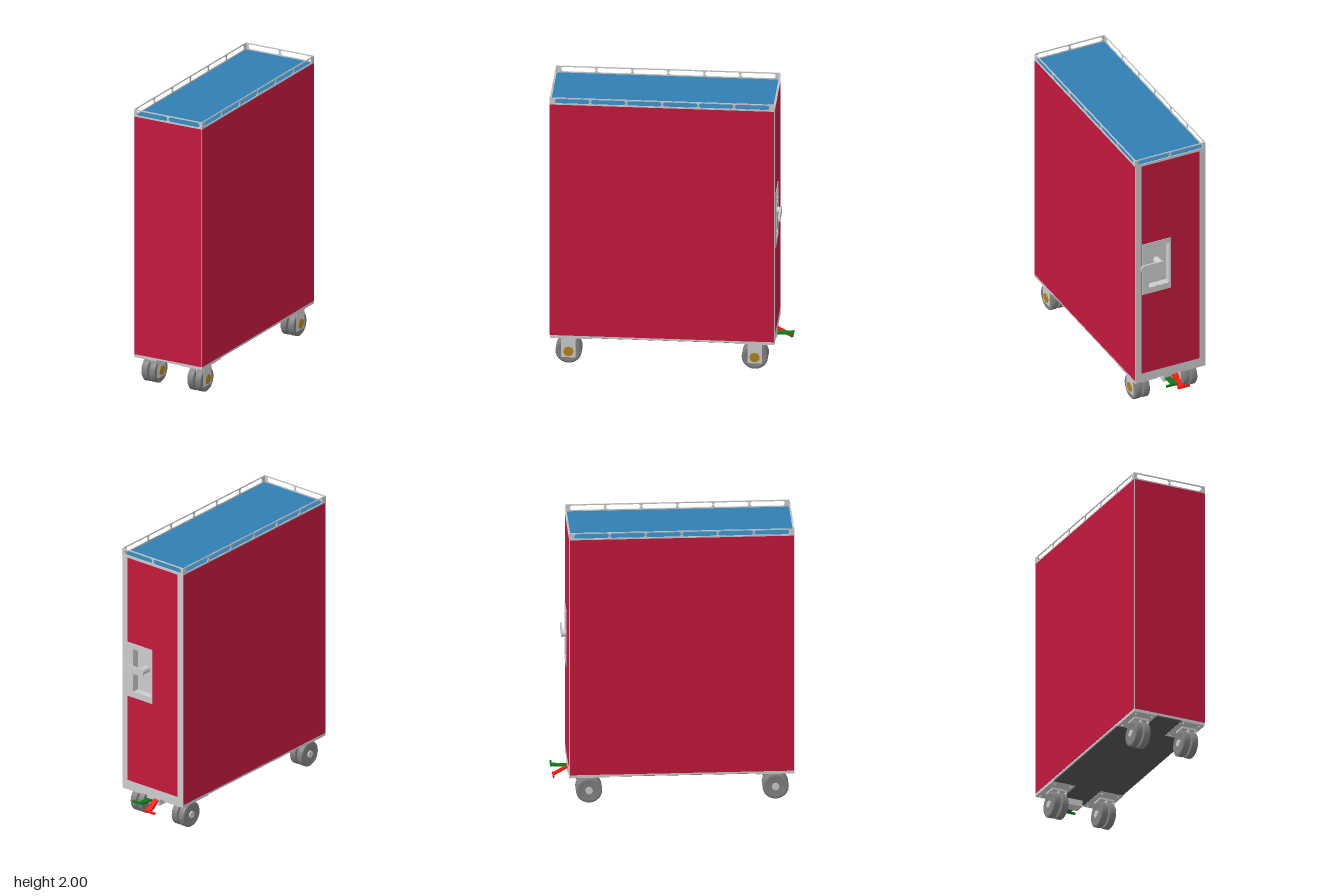
import * as THREE from 'three';

const material = (color) => new THREE.MeshStandardMaterial({ color });
const GREY = material(0xcccccc), RED = material(0xc4183c), BLUE = material(0x2f7fb2);
const DARK = material(0x555555), TYRE = material(0x808080), GOLD = material(0xb08418);
const PEDAL_RED = material(0xff1414), PEDAL_GREEN = material(0x0c7a18);

function add(parent, name, geometry, mat) {
  const mesh = new THREE.Mesh(geometry, mat);
  mesh.name = name;
  parent.add(mesh);
  return mesh;
}

// Box given by its minimum and maximum corners
function box(parent, name, mat, [x0, y0, z0], [x1, y1, z1]) {
  const mesh = add(parent, name, new THREE.BoxGeometry(x1 - x0, y1 - y0, z1 - z0), mat);
  mesh.position.set((x0 + x1) / 2, (y0 + y1) / 2, (z0 + z1) / 2);
  return mesh;
}

// Cylinder lying along the x axis
function axle(parent, name, mat, r, x0, x1) {
  const mesh = add(parent, name, new THREE.CylinderGeometry(r, r, x1 - x0, 32), mat);
  mesh.rotation.z = Math.PI / 2;
  mesh.position.x = (x0 + x1) / 2;
  return mesh;
}

function rect(Type, x0, y0, x1, y1) {
  return new Type([[x0, y0], [x1, y0], [x1, y1], [x0, y1]].map(([x, y]) => new THREE.Vector2(x, y)));
}

// Horizontal outline with round ends
function stadium(Type, x0, y0, x1, y1) {
  const r = (y1 - y0) / 2, cy = (y0 + y1) / 2;
  const s = new Type();
  s.absarc(x1 - r, cy, r, -Math.PI / 2, Math.PI / 2);
  s.absarc(x0 + r, cy, r, Math.PI / 2, Math.PI * 1.5);
  s.closePath();
  return s;
}

function extrude(shape, depth, holes = []) {
  shape.holes.push(...holes);
  return new THREE.ExtrudeGeometry(shape, { depth, bevelEnabled: false, curveSegments: 10 });
}

// Gallery rail strip with a row of round-ended slots
function rail(length, count, margin) {
  const pitch = (length - 2 * margin) / count;
  const holes = [];
  for (let i = 0; i < count; i++) {
    const x = -length / 2 + margin + i * pitch;
    holes.push(stadium(THREE.Path, x + 0.005, 1.958, x + pitch - 0.005, 1.992));
  }
  return extrude(rect(THREE.Shape, -length / 2, 1.945, length / 2, 2), 0.006, holes);
}

function makeCaster() {
  const caster = new THREE.Group();
  caster.name = 'caster';
  // Twin wheels with rounded shoulders and a dished face
  const profile = [[0.02, -0.02], [0.06, -0.02], [0.065, -0.025], [0.083, -0.025], [0.09, -0.018],
    [0.09, 0.018], [0.083, 0.025], [0.065, 0.025], [0.06, 0.02], [0.02, 0.02]];
  for (const x of [-0.03, 0.03]) {
    const points = profile.map(([r, y]) => new THREE.Vector2(r, y));
    const wheel = add(caster, 'wheel', new THREE.LatheGeometry(points, 40), TYRE);
    wheel.rotation.z = Math.PI / 2;
    wheel.position.x = x;
  }
  axle(caster, 'axle', GREY, 0.025, -0.06, 0.058);
  axle(caster, 'hubCap', GOLD, 0.034, 0.056, 0.063);
  // Fork
  box(caster, 'forkPlate', GREY, [0.052, -0.045, -0.05], [0.058, 0.11, 0.05]);
  box(caster, 'forkCentre', GREY, [-0.004, -0.045, -0.05], [0.004, 0.11, 0.05]);
  box(caster, 'forkTop', GREY, [-0.05, 0.095, -0.05], [0.058, 0.11, 0.05]);
  return caster;
}

// Foot pedal: sloping arm with a cross bar at the tip
function makePedal(name, mat, x0, x1, barX0, barX1, start, end) {
  const pedal = new THREE.Group();
  pedal.name = name;
  const [y0, z0] = start, [y1, z1] = end;
  const arm = add(pedal, 'pedalArm', new THREE.BoxGeometry(x1 - x0, 0.01, Math.hypot(y1 - y0, z1 - z0)), mat);
  arm.position.set((x0 + x1) / 2, (y0 + y1) / 2, (z0 + z1) / 2);
  arm.rotation.x = Math.atan2(y1 - y0, z0 - z1);
  box(pedal, 'pedalBar', mat, [barX0, y1 - 0.007, z1 - 0.005], [barX1, y1 + 0.007, z1 + 0.007]);
  return pedal;
}

export function createModel() {
  const cart = new THREE.Group();
  cart.name = 'serviceCart';
  const W = 0.268, BACK = -0.715, FRONT = 0.825;

  // Cabinet shell
  box(cart, 'cabinet', GREY, [-W, 0.205, -0.67], [W, 1.945, FRONT]);
  box(cart, 'worktop', BLUE, [-W + 0.004, 1.94, BACK + 0.004], [W - 0.004, 1.95, FRONT - 0.004]);
  box(cart, 'underside', DARK, [-W + 0.008, 0.2, BACK + 0.008], [W - 0.008, 0.21, FRONT - 0.008]);
  for (const s of [-1, 1]) {
    const x = s * W;
    box(cart, 'sidePanel', RED, [x - 0.002, 0.22, BACK + 0.004], [x + 0.002, 1.948, FRONT - 0.002]);
  }
  box(cart, 'frontPanel', RED, [-W + 0.004, 0.22, FRONT - 0.002], [W - 0.004, 1.948, FRONT + 0.002]);

  // Gallery rail around the worktop
  const length = FRONT - BACK, midZ = (FRONT + BACK) / 2;
  for (const s of [-1, 1]) {
    const side = add(cart, 'sideRail', rail(length, 6, 0.03), GREY);
    side.rotation.y = s * Math.PI / 2;
    side.position.set(s * (W - 0.005), 0, midZ);
  }
  add(cart, 'frontRail', rail(2 * W, 2, 0.015), GREY).position.z = FRONT - 0.005;
  add(cart, 'backRail', rail(2 * W, 2, 0.015), GREY).position.z = BACK;

  // Back door: frame, red panel and latch plate share the recess opening
  const recess = () => rect(THREE.Path, 0.012, 0.95, 0.168, 1.27);
  add(cart, 'doorFrame', extrude(rect(THREE.Shape, -W, 0.205, W, 1.945), 0.045, [recess()]), GREY)
    .position.z = BACK;
  add(cart, 'doorPanel', extrude(rect(THREE.Shape, -0.22, 0.27, 0.22, 1.94), 0.003, [recess()]), RED)
    .position.z = BACK - 0.002;
  add(cart, 'latchPlate', extrude(rect(THREE.Shape, 0, 0.905, 0.218, 1.31), 0.006, [recess()]), GREY)
    .position.z = BACK - 0.006;

  // Latch handle
  const pivot = add(cart, 'latchPivot', new THREE.CylinderGeometry(0.025, 0.025, 0.072, 24), GREY);
  pivot.rotation.x = Math.PI / 2;
  pivot.position.set(0.085, 1.127, -0.706);
  add(cart, 'latchLever', extrude(stadium(THREE.Shape, 0.055, 1.1, 0.24, 1.155), 0.012), GREY)
    .position.z = -0.75;

  // Casters with mounting plates and bolts
  for (const sx of [-1, 1]) {
    for (const [z, z0, z1] of [[0.7, 0.56, 0.825], [-0.577, -0.44, BACK]]) {
      const caster = makeCaster();
      caster.position.set(sx * 0.181 + 0.003, 0.09, z);
      cart.add(caster);
      box(cart, 'casterPlate', GREY, [sx > 0 ? 0.095 : -W, 0.198, Math.min(z0, z1)],
        [sx > 0 ? W : -0.095, 0.212, Math.max(z0, z1)]);
      for (const bx of [0.12, 0.24]) {
        for (const bz of [z0 + (z1 - z0) * 0.1, z0 + (z1 - z0) * 0.9]) {
          add(cart, 'bolt', new THREE.CylinderGeometry(0.008, 0.008, 0.01, 8), GREY)
            .position.set(sx * bx, 0.194, bz);
        }
      }
    }
  }

  // Brake housing and pedals
  box(cart, 'brakeHousing', GREY, [-0.06, 0.155, BACK], [0.052, 0.206, -0.635]);
  cart.add(makePedal('brakePedal', PEDAL_RED, -0.053, -0.01, -0.098, -0.01, [0.197, -0.705], [0.14, -0.812]));
  cart.add(makePedal('releasePedal', PEDAL_GREEN, 0, 0.042, 0, 0.087, [0.18, -0.705], [0.188, -0.825]));

  return cart;
}
